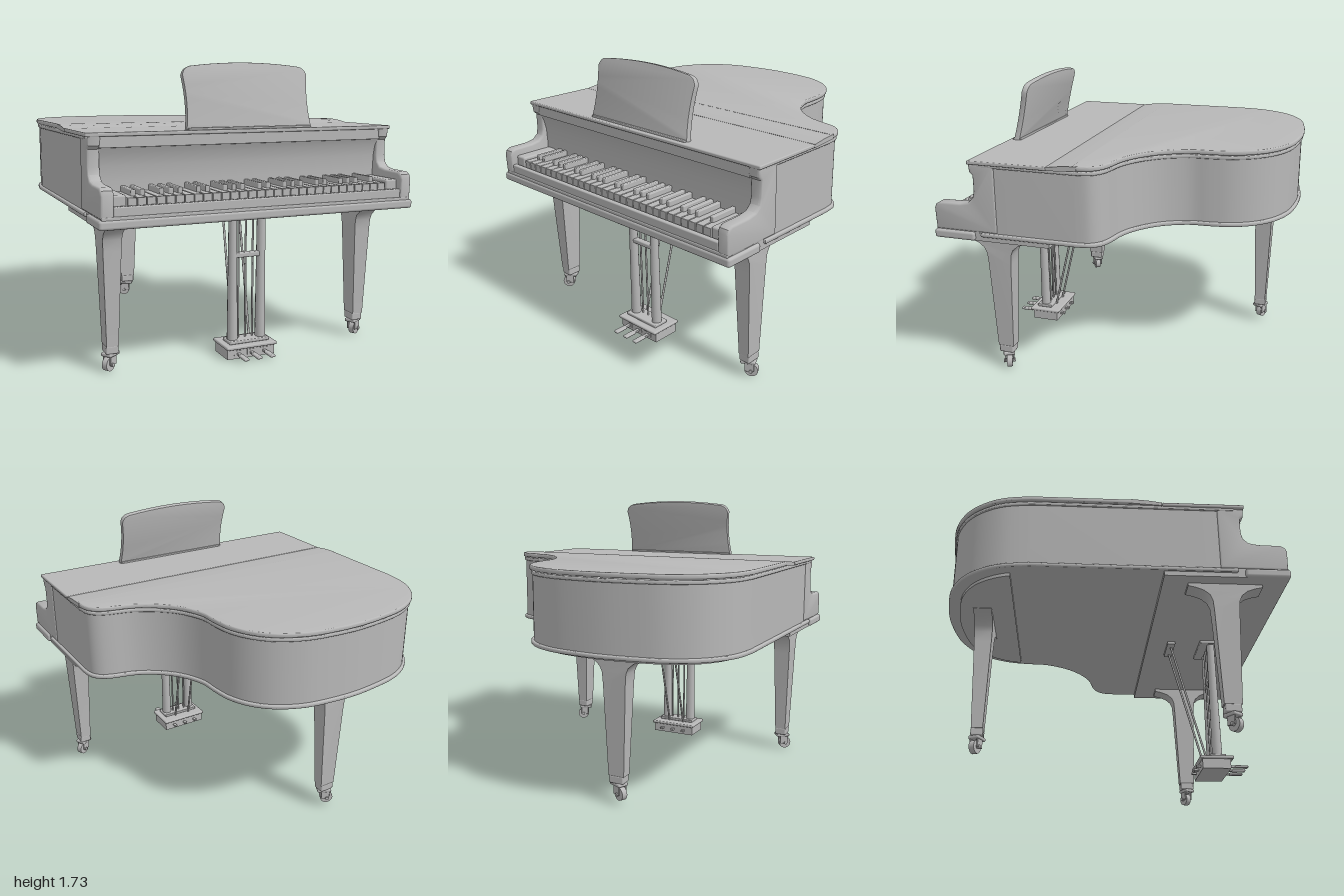
import * as THREE from 'three';
import { toCreasedNormals } from 'three/addons/utils/BufferGeometryUtils.js';
import { RoundedBoxGeometry } from 'three/addons/geometries/RoundedBoxGeometry.js';

const V2 = (x, y) => new THREE.Vector2(x, y);
const V3 = (x, y, z) => new THREE.Vector3(x, y, z);

// Curved side of the case seen from above, from bass side round the tail to treble side (x, z)
const RIM = new THREE.SplineCurve([
  [-0.965, -0.48], [-0.94, -0.64], [-0.875, -0.77], [-0.78, -0.87], [-0.64, -0.945], [-0.48, -0.98], [-0.26, -1.0],
  [-0.02, -0.98], [0.12, -0.94], [0.24, -0.87], [0.33, -0.77], [0.385, -0.65], [0.405, -0.52], [0.415, -0.4],
  [0.48, -0.26], [0.58, -0.155], [0.70, -0.085], [0.84, -0.05], [0.91, -0.015], [0.95, 0.04], [0.962, 0.12],
].map(p => V2(...p)));

export function createModel() {
  const model = new THREE.Group();
  model.name = 'grandPiano';
  const grey = new THREE.MeshStandardMaterial({ color: 0xb8b8b8 });
  grey.name = 'plain grey';

  const add = (geo, name, parent = model) => {
    const mesh = new THREE.Mesh(geo, grey);
    mesh.name = name;
    parent.add(mesh);
    return mesh;
  };
  const group = (name, parent = model) => {
    const g = new THREE.Group();
    g.name = name;
    parent.add(g);
    return g;
  };
  const box = (x0, x1, y0, y1, z0, z1, name, parent, r = 0) => {
    const s = [x1 - x0, y1 - y0, z1 - z0];
    const geo = r ? new RoundedBoxGeometry(...s, 2, r) : new THREE.BoxGeometry(...s);
    geo.translate((x0 + x1) / 2, (y0 + y1) / 2, (z0 + z1) / 2);
    return add(geo, name, parent);
  };
  const extrude = (pts, depth, bevel = 0) => new THREE.ExtrudeGeometry(new THREE.Shape(pts), {
    depth: depth - 2 * bevel, bevelEnabled: bevel > 0, bevelSize: bevel, bevelOffset: -bevel,
    bevelThickness: bevel, bevelSegments: 3,
  }).translate(0, 0, bevel);
  // Slab whose outline is drawn in plan (x, z)
  const slab = (pts, y0, y1, name, bevel = 0) => {
    const geo = extrude(pts.map(p => V2(p.x, -p.y)), y1 - y0, bevel);
    geo.rotateX(-Math.PI / 2).translate(0, y0, 0);
    return add(toCreasedNormals(geo, 0.6), name);
  };
  // Bar whose outline is a side profile (z, y), running from x0 to x1
  const bar = (pts, x0, x1, name, bevel = 0) => {
    const geo = extrude(pts.map(p => V2(...p)), x1 - x0, bevel);
    geo.rotateY(-Math.PI / 2).translate(x1, 0, 0);
    return add(toCreasedNormals(geo, 0.6), name);
  };
  // Rim line moved inward by "inset" and closed straight across at zEnd
  const outline = (inset, zEnd) => {
    const pts = [];
    for (let i = 0; i <= 80; i++) {
      const p = RIM.getPoint(i / 80), t = RIM.getTangent(i / 80);
      pts.push(V2(p.x - t.y * inset, p.y + t.x * inset));
    }
    return [...pts, V2(0.963 - inset, zEnd), V2(-0.965 + inset, zEnd)];
  };
  const rod = (a, b, r, name, parent, r2 = r) => {
    const dir = b.clone().sub(a);
    const mesh = add(new THREE.CylinderGeometry(r2, r, dir.length(), 12), name, parent);
    mesh.position.copy(a).addScaledVector(dir, 0.5);
    mesh.quaternion.setFromUnitVectors(V3(0, 1, 0), dir.normalize());
    return mesh;
  };

  // Case, mouldings and lid
  slab(outline(0.016, 0.7), 0.905, 1.338, 'case');
  slab(outline(0.0, 0.7), 0.9, 0.925, 'bottomMoulding', 0.008);
  slab(outline(0.008, 0.7), 1.315, 1.338, 'topMoulding', 0.006);
  slab(outline(0, 0.12), 1.342, 1.37, 'rearLid', 0.008);
  bar([[0.1, 1.342], [0.28, 1.332], [0.28, 1.352], [0.2, 1.363], [0.1, 1.37]], -0.965, 0.963, 'lidSlope');
  box(-0.967, 0.965, 1.332, 1.354, 0.282, 0.762, 'frontLid', model, 0.007);

  // Rounded plate under the tail
  const tail = outline(0.07, 0).filter(p => p.y < -0.55);
  slab(tail, 0.88, 0.902, 'tailPlate');

  // Key bed and front rails
  box(-0.95, 0.95, 0.872, 0.92, 0.28, 0.985, 'keyBed');
  box(-0.967, 0.967, 0.872, 0.925, 0.74, 1.0, 'frontMoulding', model, 0.016);
  box(-0.95, 0.95, 0.915, 0.94, 0.7, 0.992, 'bedStep', model, 0.006);
  box(-0.885, 0.885, 0.935, 0.99, 0.957, 0.988, 'keySlip', model, 0.008);
  box(-0.885, 0.885, 0.93, 0.975, 0.69, 0.96, 'keyFrame');

  // Arms with a rounded front and a curve up to the lid
  const arm = [[0.6, 0.925], [0.99, 0.925], [0.995, 1.05], [0.985, 1.075], [0.96, 1.09], [0.83, 1.092], [0.775, 1.102],
    [0.745, 1.13], [0.735, 1.17], [0.735, 1.265], [0.755, 1.285], [0.76, 1.334], [0.6, 1.334]];
  bar(arm, 0.882, 0.955, 'leftArm', 0.014);
  bar(arm, -0.955, -0.882, 'rightArm', 0.014);
  for (const s of [-1, 1]) {
    const a = s * 0.805, b = s * 0.885;
    box(Math.min(a, b), Math.max(a, b), 0.95, 1.045, 0.69, 0.953, 'keyBlock', model, 0.012);
  }
  // Fallboard behind the keys
  bar([[0.66, 0.97], [0.71, 0.97], [0.706, 1.08], [0.71, 1.17], [0.725, 1.235], [0.74, 1.27], [0.752, 1.272],
    [0.752, 1.334], [0.66, 1.334]], -0.89, 0.89, 'fallboard');

  // Keyboard
  const keys = group('keyboard');
  const step = 1.6 / 30;
  for (let k = 0; k < 30; k++) {
    const x = -0.8 + k * step;
    box(x + 0.0015, x + step - 0.0015, 0.975, 1.028, 0.7, 0.95, 'whiteKey', keys, 0.004);
    if ([1, 2, 4, 5, 6].includes(k % 7))
      box(x - 0.014, x + 0.014, 1.02, 1.06, 0.7, 0.885, 'blackKey', keys, 0.006);
  }

  // Music desk, leaning back and slightly hollow
  const desk = new THREE.Shape();
  desk.moveTo(-0.4, 0);
  desk.quadraticCurveTo(-0.375, 0.15, -0.4, 0.31);
  desk.quadraticCurveTo(-0.39, 0.355, -0.345, 0.362);
  desk.quadraticCurveTo(0, 0.405, 0.345, 0.362);
  desk.quadraticCurveTo(0.39, 0.355, 0.4, 0.31);
  desk.quadraticCurveTo(0.375, 0.15, 0.4, 0);
  const deskGeo = new THREE.ExtrudeGeometry(desk, {
    depth: 0.025, bevelSize: 0.006, bevelOffset: -0.006, bevelThickness: 0.006, bevelSegments: 2, curveSegments: 10,
  });
  const deskMesh = add(toCreasedNormals(deskGeo, 0.6), 'musicDesk');
  deskMesh.position.set(0.022, 1.35, 0.695);
  deskMesh.rotation.x = -0.22;
  box(-0.37, 0.415, 1.35, 1.366, 0.68, 0.735, 'deskLedge', model, 0.005);

  // Tapered legs with flared brackets and casters
  const half = [[0.05, 0.15], [0.072, 0.7], [0.077, 0.765], [0.092, 0.8], [0.125, 0.828], [0.17, 0.845], [0.215, 0.855], [0.215, 0.88]];
  const legPts = [...half.map(p => V2(...p)), ...half.map(([x, y]) => V2(-x, y)).reverse()];
  const makeLeg = (name, x, z, turn, lift, spin) => {
    const leg = group(name);
    const geo = extrude(legPts, 1).translate(0, 0, -0.5);
    const pos = geo.attributes.position;
    for (let i = 0; i < pos.count; i++) {
      const t = Math.min(1, (pos.getY(i) - 0.15) / 0.65);
      pos.setZ(i, pos.getZ(i) * (0.07 + 0.042 * t));
    }
    geo.computeVertexNormals();
    add(toCreasedNormals(geo, 0.5), 'legPost', leg);
    box(-0.046, 0.046, 0.105, 0.152, -0.037, 0.037, 'legFoot', leg, 0.008);
    const caster = group('caster', leg);
    caster.rotation.y = spin;
    box(-0.045, 0.045, 0.086, 0.108, -0.035, 0.035, 'casterPlate', caster, 0.008);
    for (const s of [-1, 1]) box(-0.02, 0.035, 0.035, 0.09, s * 0.024 - 0.005, s * 0.024 + 0.005, 'casterFork', caster, 0.004);
    const wheel = add(new THREE.CylinderGeometry(0.04, 0.04, 0.034, 20), 'casterWheel', caster);
    wheel.rotation.x = Math.PI / 2;
    wheel.position.set(0.018, 0.04, 0);
    rod(V3(0.018, 0.04, -0.036), V3(0.018, 0.04, 0.036), 0.011, 'casterAxle', caster);
    leg.position.set(x, lift, z);
    leg.rotation.y = turn;
  };
  makeLeg('leftFrontLeg', 0.815, 0.64, Math.PI / 2, 0, -1.1);
  makeLeg('rightFrontLeg', -0.815, 0.64, Math.PI / 2, 0, 2.2);
  makeLeg('backLeg', -0.27, -0.775, 0, 0.022, 2.7);

  // Pedal lyre
  const lyre = group('pedalLyre');
  box(-0.14, 0.17, 0, 0.062, 0.59, 0.765, 'pedalBox', lyre);
  box(-0.15, 0.18, 0.06, 0.08, 0.575, 0.785, 'pedalBoxTop', lyre, 0.008);
  box(-0.115, 0.145, 0.08, 0.1, 0.64, 0.745, 'pillarBase', lyre, 0.006);
  box(-0.12, 0.15, 0.852, 0.875, 0.62, 0.76, 'lyreTop', lyre, 0.006);
  for (const x of [-0.078, 0.108]) {
    rod(V3(x, 0.09, 0.695), V3(x, 0.86, 0.695), 0.032, 'lyrePillar', lyre, 0.025);
    rod(V3(x * 0.6, 0.08, 0.635), V3(x * 0.6 + 0.02, 0.875, 0.435), 0.007, 'lyreBrace', lyre);
  }
  box(-0.07, 0.1, 0.595, 0.625, 0.675, 0.715, 'lyreCrossbar', lyre, 0.008);
  box(-0.09, 0.12, 0.855, 0.875, 0.41, 0.46, 'braceRail', lyre);
  for (const x of [-0.07, 0.015, 0.1]) {
    box(x - 0.026, x + 0.026, 0.018, 0.05, 0.762, 0.769, 'pedalSlotFrame', lyre);
    box(x - 0.01, x + 0.01, 0.024, 0.036, 0.56, 0.81, 'pedalStem', lyre);
    box(x - 0.017, x + 0.017, 0.022, 0.038, 0.8, 0.885, 'pedalTread', lyre, 0.007);
    rod(V3(0.015 + (x - 0.015) * 0.55, 0.07, 0.68), V3(0.015 + (x - 0.015) * 0.55, 0.86, 0.68), 0.006, 'pedalRod', lyre);
  }
  return model;
}
